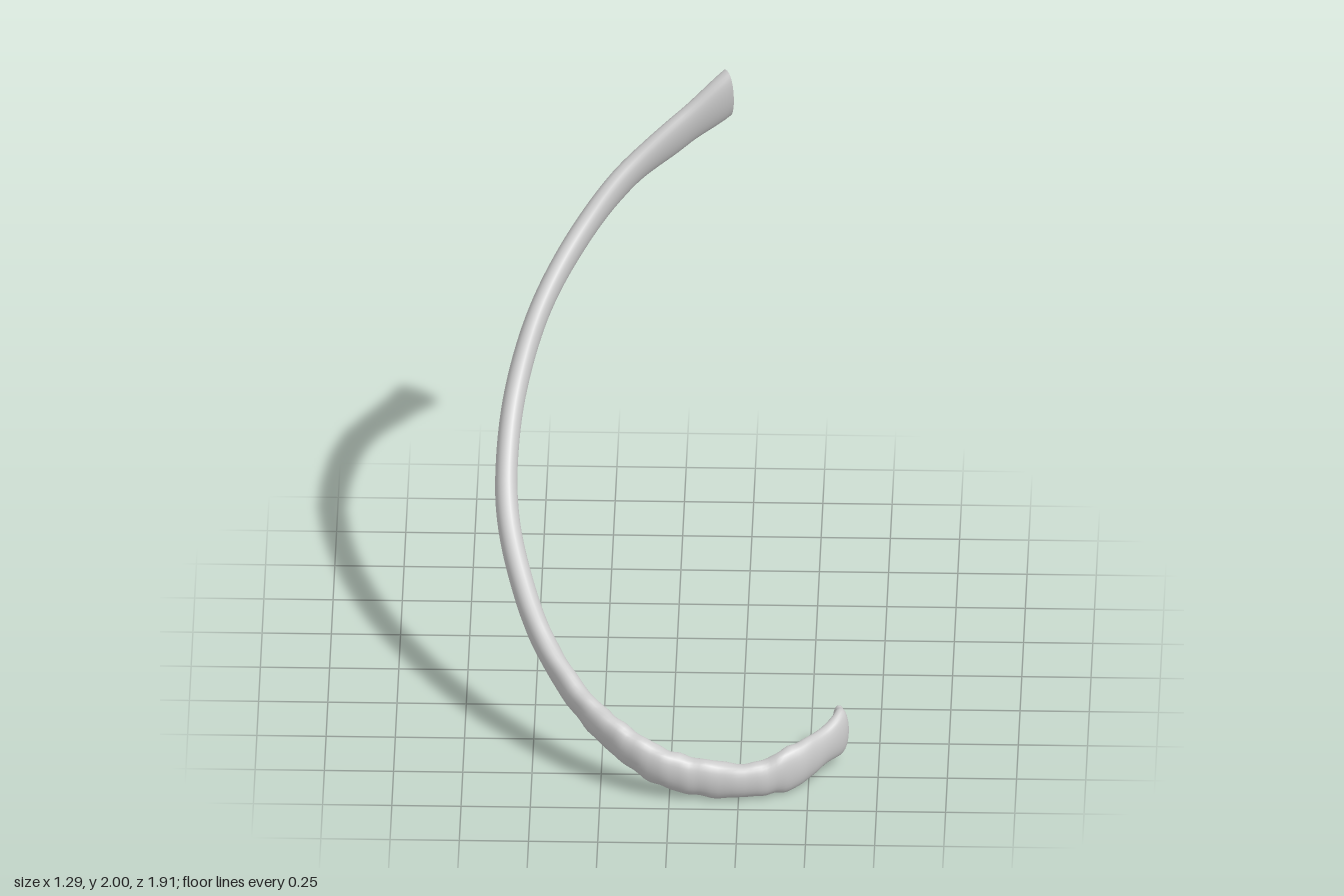
import * as THREE from 'three';

// Stations from the front tip to the back end:
// centre x, y, z, half height, lean of the height axis toward +z, half thickness
const STATIONS = [
  [0.605, 0.140, 0.60, 0.072, 0, 0.024],
  [0.608, 0.135, 0.65, 0.088, 0, 0.033],
  [0.550, 0.118, 0.73, 0.072, 0, 0.034],
  [0.440, 0.095, 0.845, 0.085, 0, 0.042],
  [0.300, 0.073, 0.902, 0.064, 0, 0.042],
  [0.100, 0.086, 0.908, 0.074, 0.05, 0.046],
  [-0.050, 0.130, 0.895, 0.078, 0.15, 0.048],
  [-0.200, 0.200, 0.815, 0.078, 0.35, 0.046],
  [-0.330, 0.275, 0.69, 0.072, 0.5, 0.042],
  [-0.470, 0.420, 0.50, 0.062, 0.65, 0.042],
  [-0.555, 0.575, 0.31, 0.056, 0.72, 0.042],
  [-0.602, 0.720, 0.14, 0.054, 0.75, 0.041],
  [-0.610, 0.860, -0.01, 0.054, 0.75, 0.040],
  [-0.583, 1.050, -0.20, 0.055, 0.72, 0.040],
  [-0.500, 1.275, -0.40, 0.058, 0.68, 0.039],
  [-0.360, 1.475, -0.595, 0.062, 0.62, 0.040],
  [-0.200, 1.640, -0.735, 0.070, 0.5, 0.040],
  [0.000, 1.780, -0.840, 0.088, 0.35, 0.040],
  [0.165, 1.895, -0.912, 0.107, 0.25, 0.045],
];
const SIDES = 28, STEPS = 160;

const track = (a, b, c) => new THREE.CatmullRomCurve3(
  STATIONS.map(s => new THREE.Vector3(s[a], s[b], s[c])), false, 'centripetal');
const path = track(0, 1, 2);
// Section sizes are interpolated per station to stay in step with the path
function sizeAt(v) {
  const f = v * (STATIONS.length - 1), i = Math.min(Math.floor(f), STATIONS.length - 2);
  const k = THREE.MathUtils.smoothstep(f - i, 0, 1);
  return [3, 4, 5].map(c => THREE.MathUtils.lerp(STATIONS[i][c], STATIONS[i + 1][c], k));
}

// One oval ring at v, scaled and shifted along the path direction
function ring(v, scale = 1, shift = 0) {
  const [h, lean, t] = sizeAt(v);
  const dir = path.getTangent(v);
  const centre = path.getPoint(v).addScaledVector(dir, shift);
  const up = new THREE.Vector3(0, Math.cos(lean), Math.sin(lean));
  const side = dir.clone().cross(up).normalize();
  // Uneven surface toward the front, fading out along the shaft
  const rough = THREE.MathUtils.smoothstep(v, 0.1, 0.2) * (1 - THREE.MathUtils.smoothstep(v, 0.4, 0.56));
  return Array.from({ length: SIDES }, (_, j) => {
    const q = j / SIDES * Math.PI * 2, c = Math.cos(q), s = Math.sin(q);
    const bump = 1 + rough * 0.035 * (Math.sin(v * 150 + 2 * q) + 0.7 * Math.sin(v * 237 - q));
    const wide = Math.sign(s) * Math.pow(Math.abs(s), 0.85);
    return centre.clone()
      .addScaledVector(up, c * h * scale * bump)
      .addScaledVector(side, wide * t * scale * bump);
  });
}

// Joins rings into one smooth skin
function skin(name, rings) {
  const index = [];
  for (let i = 0; i < rings.length - 1; i++) {
    for (let j = 0; j < SIDES; j++) {
      const k = (j + 1) % SIDES;
      const a = i * SIDES + j, b = i * SIDES + k, c = a + SIDES, d = b + SIDES;
      index.push(a, b, c, b, d, c);
    }
  }
  const geometry = new THREE.BufferGeometry().setFromPoints(rings.flat());
  geometry.setIndex(index);
  geometry.computeVertexNormals();
  const mesh = new THREE.Mesh(geometry, new THREE.MeshStandardMaterial({ color: 0xcccccc }));
  mesh.name = name;
  return mesh;
}

export function createModel() {
  const group = new THREE.Group();
  group.name = 'rib';

  // Rounded front tip flowing into the curved shaft
  const rings = [];
  for (let i = 0; i < 6; i++) {
    const q = i / 6 * Math.PI / 2;
    rings.push(ring(0, Math.max(Math.sin(q), 0.01), -0.03 * Math.cos(q)));
  }
  for (let i = 0; i <= STEPS; i++) rings.push(ring(i / STEPS));
  group.add(skin('shaft', rings));

  // Shallow hollow face on the back end
  const face = [1, 0.85, 0.6, 0.3, 0.01].map(s => ring(1, s, -0.018 * (1 - s * s)));
  group.add(skin('backEndFace', face));
  return group;
}
